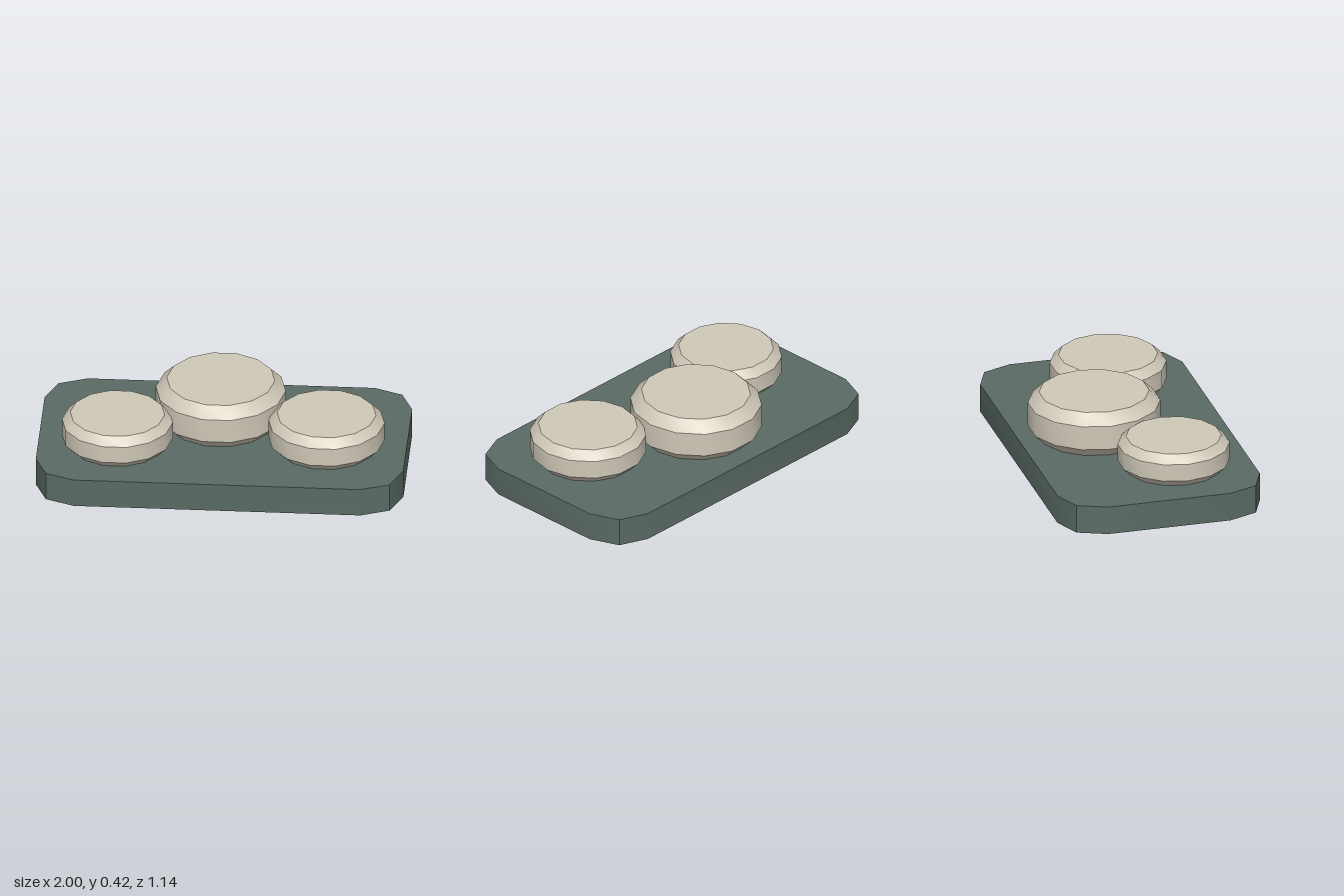
import * as THREE from 'three';
import { toCreasedNormals } from 'three/addons/utils/BufferGeometryUtils.js';

const CREASE = 0.6;

export function createModel() {
  const group = new THREE.Group();
  const slate = new THREE.MeshStandardMaterial({ name: 'slate green', color: 0x5a6a64 });
  const stone = new THREE.MeshStandardMaterial({ name: 'pale stone', color: 0xcfc8b8 });

  // Base slab: rectangle with two-step clipped corners
  const corner = [[1, 0.345], [0.935, 0.505], [0.78, 0.57]];
  const back = [...corner].reverse();
  const outline = [
    ...corner,
    ...back.map(([x, y]) => [-x, y]),
    ...corner.map(([x, y]) => [-x, -y]),
    ...back.map(([x, y]) => [x, -y]),
  ].map(([x, y]) => new THREE.Vector2(x, y));
  const slabGeometry = new THREE.ExtrudeGeometry(new THREE.Shape(outline), { depth: 0.16, bevelEnabled: false });
  slabGeometry.rotateX(-Math.PI / 2);
  const slab = new THREE.Mesh(toCreasedNormals(slabGeometry, CREASE), slate);
  slab.name = 'baseSlab';
  group.add(slab);

  // Fourteen-sided stones, bevelled above and below
  function addStone(name, x, z, radius, height, bevel, depthScale) {
    const inner = radius - bevel;
    const profile = [
      [0, 0], [inner, 0], [radius, bevel], [radius, height - bevel], [inner, height], [0, height],
    ].map(([r, y]) => new THREE.Vector2(r, y));
    const geometry = new THREE.LatheGeometry(profile, 14, Math.PI / 2);
    geometry.scale(1, 1, depthScale);
    const mesh = new THREE.Mesh(toCreasedNormals(geometry, CREASE), stone);
    mesh.name = name;
    mesh.position.set(x, 0.159, z);
    group.add(mesh);
  }
  addStone('centreStone', -0.028, -0.154, 0.354, 0.256, 0.06, 1.02);
  addStone('rightStone', -0.57, 0.143, 0.302, 0.187, 0.045, 1.01);
  addStone('leftStone', 0.564, 0.09, 0.316, 0.198, 0.047, 1.005);

  return group;
}
